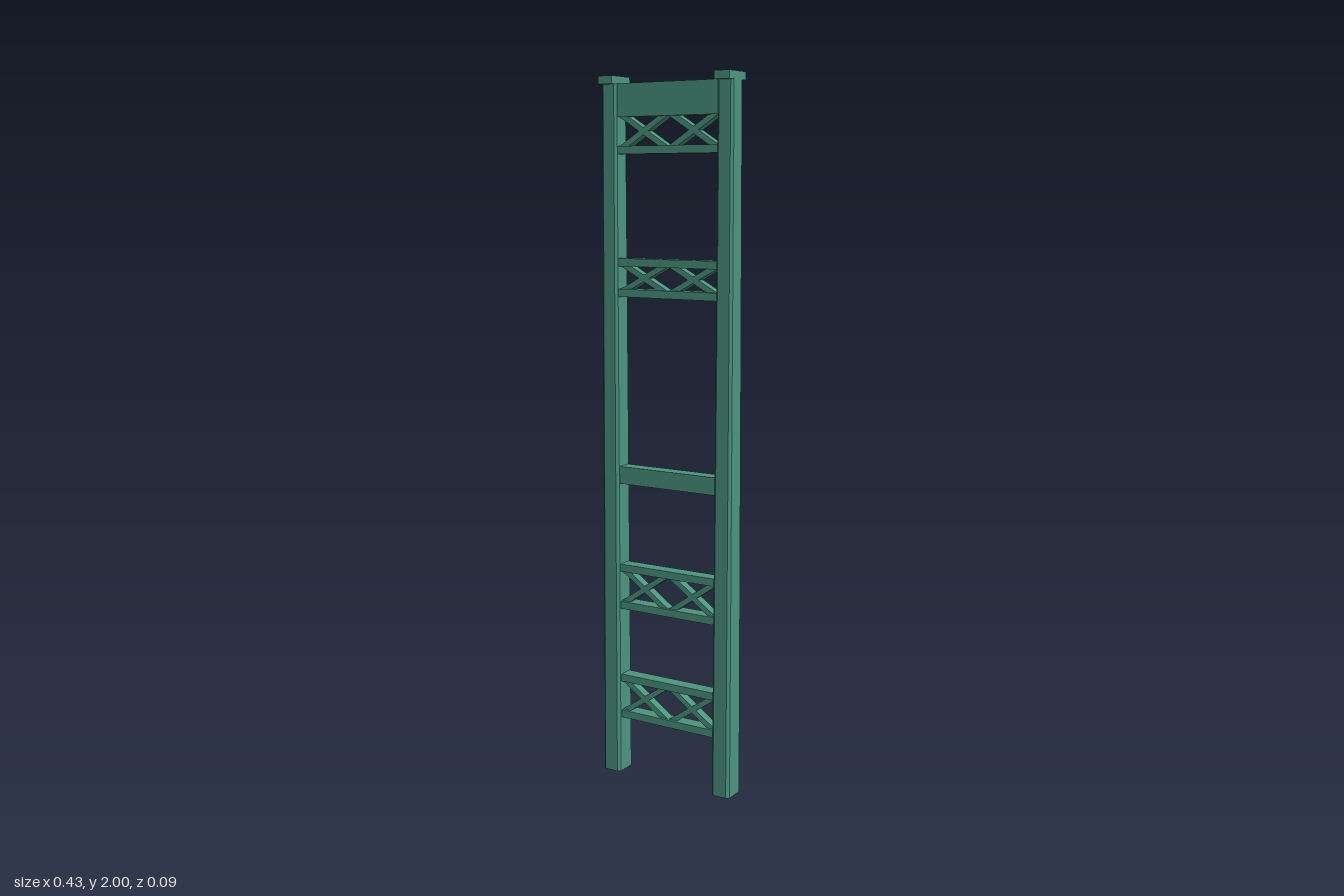
import * as THREE from 'three';

const paint = new THREE.MeshStandardMaterial({ color: 0x4b957e, flatShading: true });

function box(name, w, h, d, x, y, z = 0) {
  const mesh = new THREE.Mesh(new THREE.BoxGeometry(w, h, d), paint);
  mesh.name = name;
  mesh.position.set(x, y, z);
  return mesh;
}

// Tapered leg with chamfered corners
function leg(name, x) {
  const a = 0.029, b = 0.035, c = 0.008, height = 1.98;
  const outline = new THREE.Shape([
    [a, b - c], [a - c, b], [c - a, b], [-a, b - c],
    [-a, c - b], [c - a, -b], [a - c, -b], [a, c - b],
  ].map(([px, py]) => new THREE.Vector2(px, py)));
  const geo = new THREE.ExtrudeGeometry(outline, { depth: height, bevelEnabled: false });
  geo.rotateX(-Math.PI / 2);
  const p = geo.attributes.position;
  for (let i = 0; i < p.count; i++) {
    const t = p.getY(i) / height;
    p.setX(i, p.getX(i) * (1 - 0.17 * t));
    p.setZ(i, p.getZ(i) * (1 - 0.23 * t));
  }
  geo.computeVertexNormals();
  const mesh = new THREE.Mesh(geo, paint);
  mesh.name = name;
  mesh.position.x = x;
  return mesh;
}

// Cross-braced strut: two chords with two X panels between them
function truss(name, bottom, top) {
  const g = new THREE.Group();
  g.name = name;
  const chord = 0.022, span = 0.33, cell = 0.16;
  g.add(box('upperChord', span, chord, 0.042, 0, top - chord / 2));
  g.add(box('lowerChord', span, chord, 0.042, 0, bottom + chord / 2));
  const rise = top - bottom - chord;
  for (const x of [-cell / 2, cell / 2]) {
    for (const dir of [-1, 1]) {
      const brace = box('brace', Math.hypot(cell, rise), 0.016, 0.026, x, (top + bottom) / 2);
      brace.rotation.z = dir * Math.atan2(rise, cell);
      g.add(brace);
    }
  }
  return g;
}

export function createModel() {
  const model = new THREE.Group();
  model.name = 'bridgeTower';

  // Legs and their caps
  for (const [side, s] of [['left', 1], ['right', -1]]) {
    model.add(leg(side + 'Leg', s * 0.185));
    model.add(box(side + 'Cap', 0.046, 0.022, 0.088, s * 0.185, 1.989));
  }

  // Solid cross beams
  model.add(box('topBeam', 0.33, 0.07, 0.038, 0, 1.945));
  model.add(box('deckBeam', 0.33, 0.05, 0.044, 0, 0.89));

  // Braced struts, bottom to top
  [[0.165, 0.297], [0.495, 0.628], [1.398, 1.505], [1.79, 1.912]]
    .forEach(([b, t], i) => model.add(truss('truss' + (i + 1), b, t)));

  return model;
}
